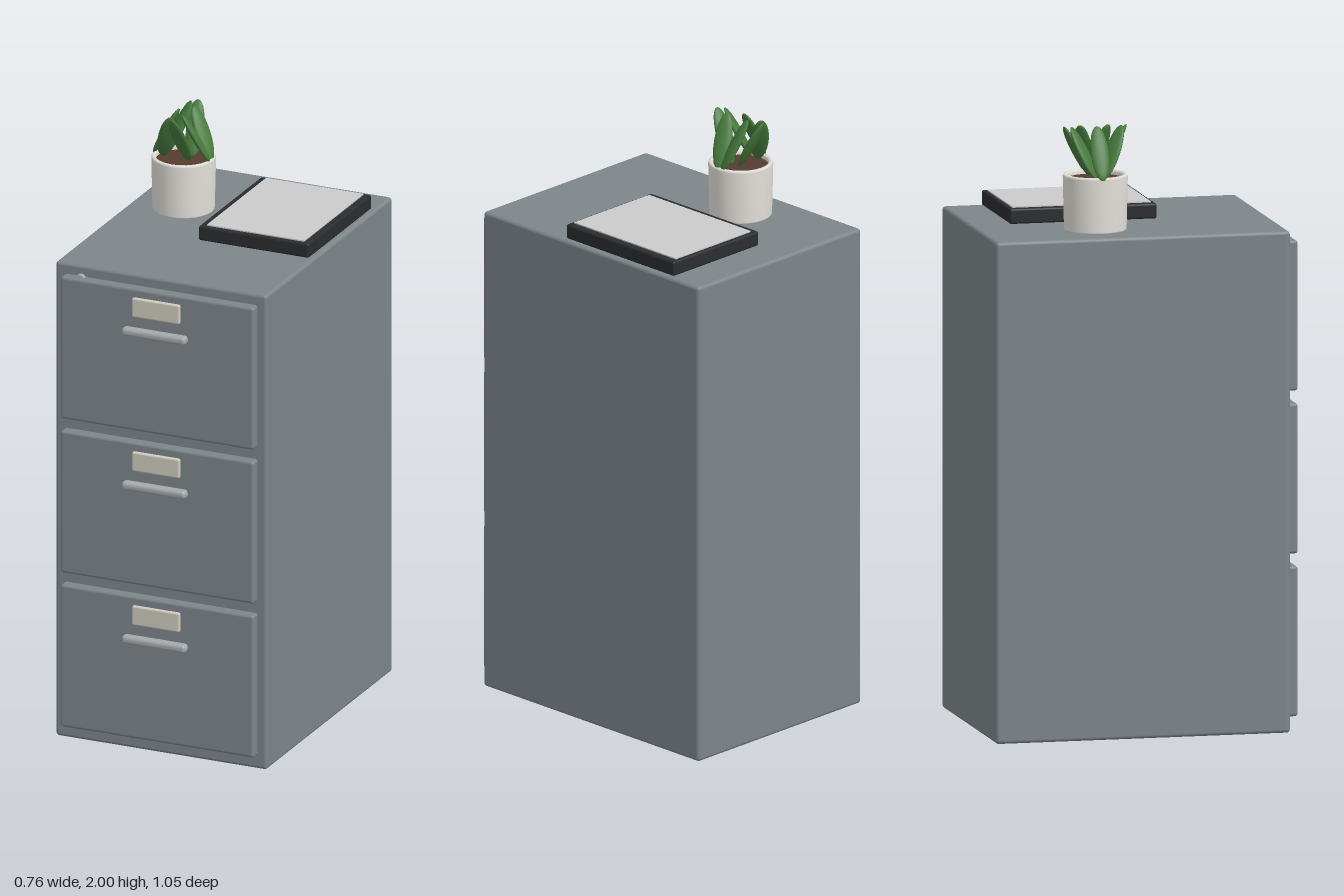
import * as THREE from 'three';
import { RoundedBoxGeometry } from 'three/addons/geometries/RoundedBoxGeometry.js';

const mat = (color) => new THREE.MeshStandardMaterial({ color });
const steel = mat(0x7d868a);
const metal = mat(0xa6a9aa);
const card = mat(0xd0ccc0);
const black = mat(0x2b2c2f);
const paper = mat(0xc4c4c4);
const ceramic = mat(0xe4e1da);
const earth = mat(0x553c2e);
const green = mat(0x467a3c);

function add(parent, name, geometry, material, x = 0, y = 0, z = 0) {
  const mesh = new THREE.Mesh(geometry, material);
  mesh.name = name;
  mesh.position.set(x, y, z);
  parent.add(mesh);
  return mesh;
}

// Rounded box given by its lower and upper limits on each axis
function box(parent, name, material, [x0, x1], [y0, y1], [z0, z1], radius) {
  const geometry = new RoundedBoxGeometry(x1 - x0, y1 - y0, z1 - z0, 3, radius);
  return add(parent, name, geometry, material, (x0 + x1) / 2, (y0 + y1) / 2, (z0 + z1) / 2);
}

function createDrawer(bottom) {
  const drawer = new THREE.Group();
  drawer.name = 'drawer';
  drawer.position.y = bottom;
  box(drawer, 'drawerFront', steel, [-0.346, 0.346], [0, 0.496], [0.45, 0.492], 0.01);
  box(drawer, 'labelHolder', card, [-0.085, 0.085], [0.4, 0.467], [0.48, 0.503], 0.006);
  box(drawer, 'handle', metal, [-0.115, 0.115], [0.336, 0.366], [0.49, 0.525], 0.013);
  return drawer;
}

function createPlant() {
  const plant = new THREE.Group();
  plant.name = 'pottedPlant';
  plant.position.set(-0.198, 1.655, -0.151);

  // Pot wall with a rounded rim and an open inside
  const profile = [
    [0, 0], [0.099, 0], [0.102, 0.005], [0.106, 0.178], [0.103, 0.185],
    [0.094, 0.185], [0.091, 0.178], [0.09, 0.15],
  ].map(([r, y]) => new THREE.Vector2(r, y));
  add(plant, 'pot', new THREE.LatheGeometry(profile, 24), ceramic).material.side = THREE.DoubleSide;
  add(plant, 'soil', new THREE.CylinderGeometry(0.091, 0.091, 0.02, 24), earth, 0, 0.16);

  // Ring of thin oval leaves, spreading front to back and closing side to side
  const leafShape = new THREE.SphereGeometry(1, 16, 12);
  leafShape.scale(0.012, 0.095, 0.03);
  leafShape.rotateZ(-0.5);
  const count = 7;
  for (let i = 0; i < count; i++) {
    const a = 0.44 + (i / count) * Math.PI * 2;
    const leaf = add(plant, 'leaf', leafShape, green, Math.cos(a) * 0.062, 0.26, Math.sin(a) * 0.062);
    leaf.rotation.y = -Math.atan2(Math.sin(a), -Math.cos(a));
  }
  return plant;
}

export function createModel() {
  const model = new THREE.Group();
  model.name = 'filingCabinet';

  // Cabinet body
  box(model, 'cabinetBody', steel, [-0.378, 0.378], [0, 1.655], [-0.526, 0.459], 0.012);

  // Three drawers, evenly stacked
  for (let i = 0; i < 3; i++) model.add(createDrawer(0.048 + i * 0.537));

  // Small lock at the top left corner of the face
  const lock = new THREE.CylinderGeometry(0.018, 0.018, 0.03, 16);
  lock.rotateX(Math.PI / 2);
  add(model, 'lock', lock, metal, -0.284, 1.609, 0.462);

  // Dark tray with a sheet of paper on top
  box(model, 'tray', black, [-0.033, 0.362], [1.655, 1.705], [-0.397, 0.095], 0.007);
  add(model, 'paper', new THREE.BoxGeometry(0.348, 0.01, 0.464), paper, 0.165, 1.704, -0.151);

  model.add(createPlant());
  return model;
}
